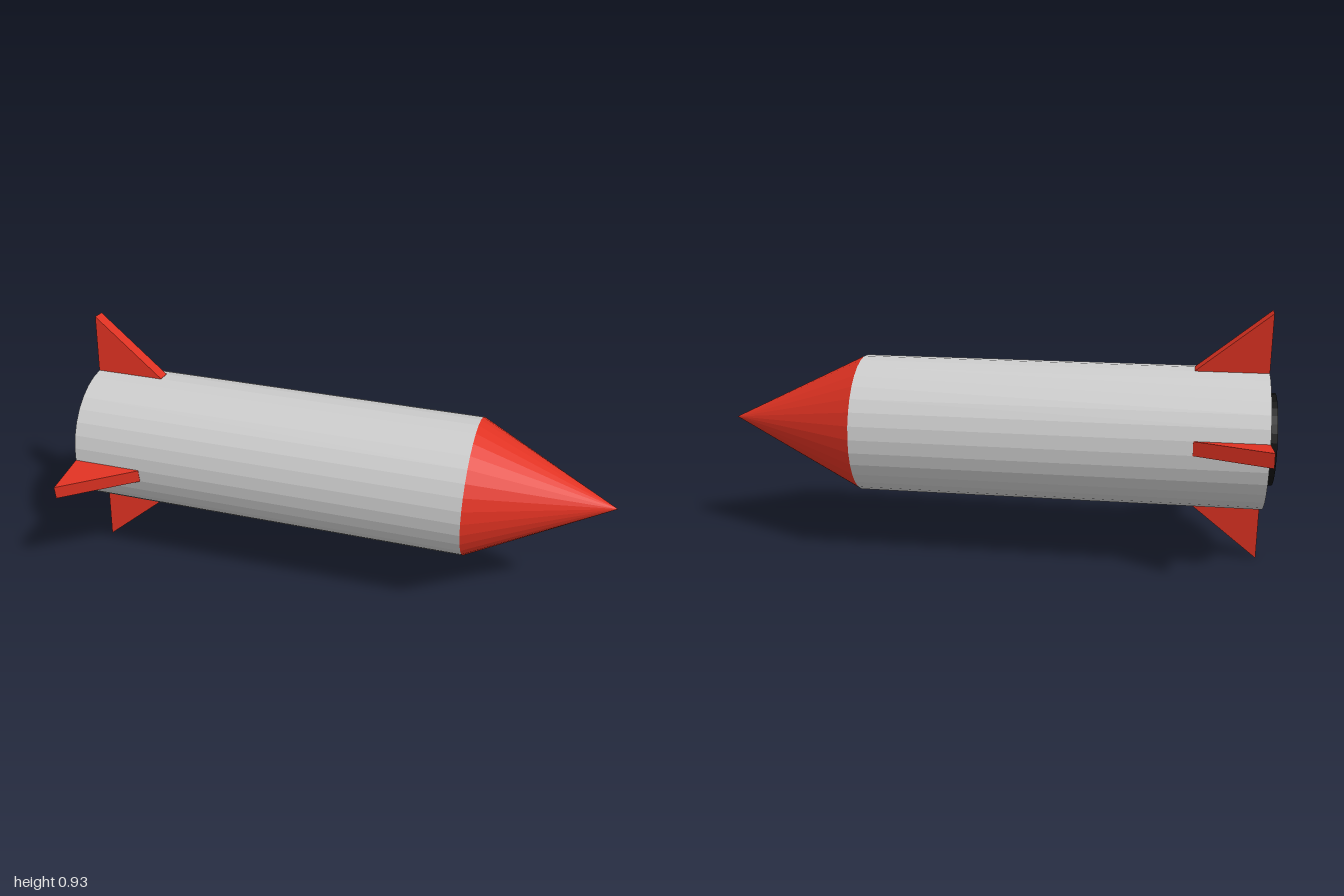
import * as THREE from 'three';

const AXIS_Y = 0.466, AXIS_Z = -0.01, RADIUS = 0.253, TAIL = -0.97, SHOULDER = 0.49;

export function createModel() {
  const rocket = new THREE.Group();
  rocket.name = 'rocket';

  const grey = new THREE.MeshStandardMaterial({ color: 0xcccccc, flatShading: true });
  const red = new THREE.MeshStandardMaterial({ color: 0xe03222, flatShading: true });
  const black = new THREE.MeshStandardMaterial({ color: 0x111111, flatShading: true });

  // Round section lying along x, from x0 to x1
  function section(name, rFront, rBack, x0, x1, material) {
    const geometry = new THREE.CylinderGeometry(rFront, rBack, x1 - x0, 32);
    geometry.rotateZ(-Math.PI / 2);
    const mesh = new THREE.Mesh(geometry, material);
    mesh.name = name;
    mesh.position.set((x0 + x1) / 2, AXIS_Y, AXIS_Z);
    rocket.add(mesh);
    return mesh;
  }

  section('body', RADIUS, RADIUS, TAIL, SHOULDER, grey);
  section('noseCone', 0, RADIUS, SHOULDER, 1, red);
  section('nozzle', 0.165, 0.165, -1, TAIL + 0.01, black).position.z = -0.015;

  // Triangular fin with its root sunk into the body, turned around the axis
  function fin(name, degrees, tip) {
    const root = 0.2, thickness = 0.05, front = -0.715;
    const shape = new THREE.Shape([
      new THREE.Vector2(TAIL, root),
      new THREE.Vector2(front, root),
      new THREE.Vector2(front, RADIUS),
      new THREE.Vector2(TAIL, tip),
    ]);
    const geometry = new THREE.ExtrudeGeometry(shape, { depth: thickness, bevelEnabled: false });
    geometry.translate(0, 0, -thickness / 2);
    const mesh = new THREE.Mesh(geometry, red);
    mesh.name = name;
    mesh.position.set(0, AXIS_Y, AXIS_Z);
    mesh.rotation.x = THREE.MathUtils.degToRad(degrees);
    rocket.add(mesh);
  }

  // Opposite fins share a line; the two pairs lean in opposite senses
  fin('topFin', -5.6, 0.465);
  fin('bottomFin', 174.4, 0.465);
  fin('frontFin', 95.6, 0.422);
  fin('backFin', -84.4, 0.402);

  return rocket;
}
